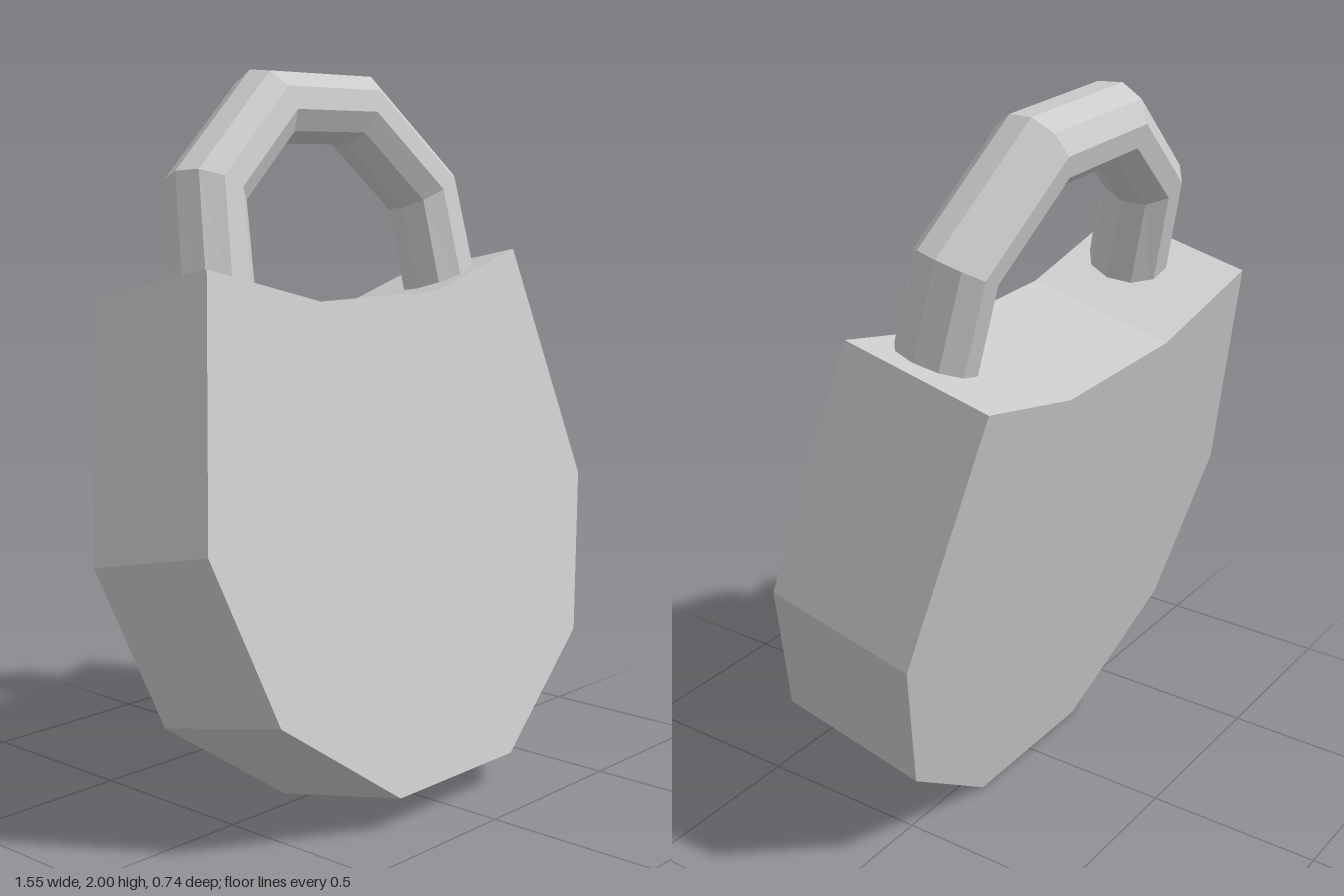
import * as THREE from 'three';

const material = () => new THREE.MeshStandardMaterial({ color: 0xcccccc, flatShading: true });

// Many-sided bar swept along a polyline in the xy plane, mitred at each bend
function sweptBar(path, rPlane, rDepth, sides) {
  const pts = path.map(([x, y]) => new THREE.Vector2(x, y));
  const positions = [], index = [];
  pts.forEach((p, i) => {
    const before = p.clone().sub(pts[Math.max(i - 1, 0)]).normalize();
    const after = pts[Math.min(i + 1, pts.length - 1)].clone().sub(p).normalize();
    const dir = before.add(after).normalize();
    for (let j = 0; j < sides; j++) {
      const a = (j / sides) * Math.PI * 2;
      const r = Math.cos(a) * rPlane;
      positions.push(p.x - dir.y * r, p.y + dir.x * r, Math.sin(a) * rDepth);
    }
  });
  const last = (pts.length - 1) * sides;
  for (let j = 0; j < sides; j++) {
    const k = (j + 1) % sides;
    for (let i = 0; i < last; i += sides) {
      index.push(i + j, i + k, i + sides + j, i + k, i + sides + k, i + sides + j);
    }
    // End caps
    if (j > 0 && j < sides - 1) index.push(0, k, j, last, last + j, last + k);
  }
  const geometry = new THREE.BufferGeometry();
  geometry.setAttribute('position', new THREE.Float32BufferAttribute(positions, 3));
  geometry.setIndex(index);
  const flat = geometry.toNonIndexed();
  flat.computeVertexNormals();
  return flat;
}

export function createModel() {
  const model = new THREE.Group();
  model.name = 'padlock';

  // The whole lock leans backwards
  const lock = new THREE.Group();
  lock.name = 'leaningLock';
  lock.position.set(0, 0.048, 0.155);
  lock.rotation.x = -0.215;
  model.add(lock);

  // Faceted body with a shallow dip along the top
  const half = [[0.24, 0], [0.627, 0.28], [0.775, 0.735], [0.627, 1.432], [0.24, 1.327]];
  const outline = [...half, ...half.map(([x, y]) => [-x, y]).reverse()];
  const shape = new THREE.Shape(outline.map(([x, y]) => new THREE.Vector2(x, y)));
  const bodyGeometry = new THREE.ExtrudeGeometry(shape, { depth: 0.44, bevelEnabled: false });
  bodyGeometry.translate(0, 0, -0.22);
  const body = new THREE.Mesh(bodyGeometry, material());
  body.name = 'body';
  lock.add(body);

  // Shackle, set a little forward of the middle and slightly lopsided
  const arch = [
    [-0.482, 1.32], [-0.444, 1.658], [-0.174, 1.881],
    [0.171, 1.878], [0.426, 1.638], [0.446, 1.32],
  ];
  const shackle = new THREE.Mesh(sweptBar(arch, 0.107, 0.115, 10), material());
  shackle.name = 'shackle';
  shackle.position.z = 0.069;
  lock.add(shackle);

  return model;
}
